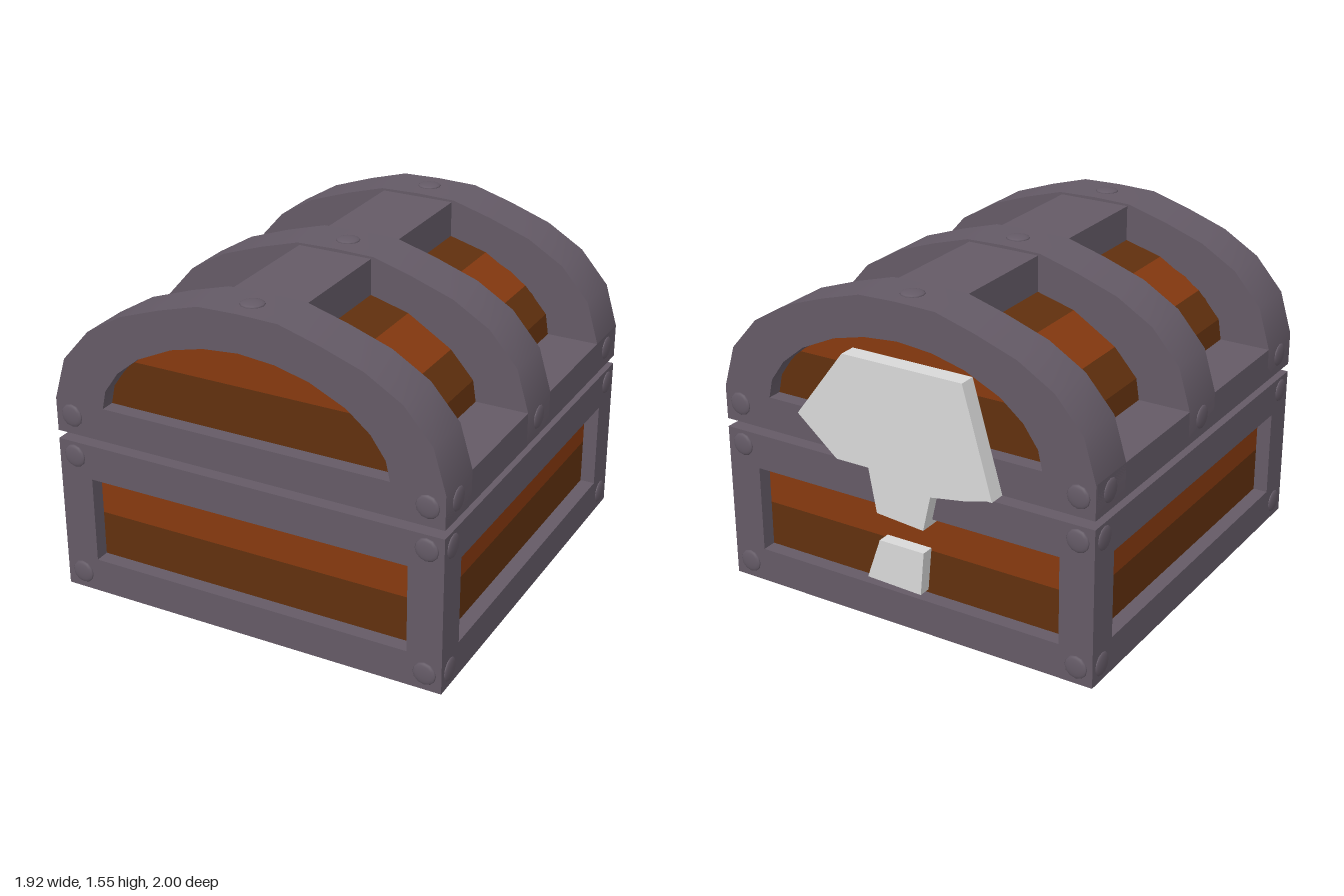
import * as THREE from 'three';
import { toCreasedNormals } from 'three/addons/utils/BufferGeometryUtils.js';

const mat = (name, color) => new THREE.MeshStandardMaterial({ name, color });

// Closed shape from a list of [x, y] points
const shapeOf = (pts) => new THREE.Shape(pts.map(([x, y]) => new THREE.Vector2(x, y)));
// Right half outline (bottom to top) mirrored to a full arch
const mirrored = (half) => [...half, ...half.filter(([x]) => x > 0).reverse().map(([x, y]) => [-x, y])];
const rect = (x0, y0, x1, y1) => [[x0, y0], [x1, y0], [x1, y1], [x0, y1]];

export function createModel() {
  const chest = new THREE.Group();
  chest.name = 'chest';
  const metal = mat('dull iron', 0x645a66);
  const lightWood = mat('light wood', 0x86390f);
  const darkWood = mat('dark wood', 0x61300e);
  const pale = mat('pale metal', 0xd8d8d8);

  const add = (name, geometry, material, parent = chest) => {
    const mesh = new THREE.Mesh(geometry, material);
    mesh.name = name;
    parent.add(mesh);
    return mesh;
  };
  // Box given by its limits
  const box = (name, x0, x1, y0, y1, z0, z1, material, parent) => {
    const mesh = add(name, new THREE.BoxGeometry(x1 - x0, y1 - y0, z1 - z0), material, parent);
    mesh.position.set((x0 + x1) / 2, (y0 + y1) / 2, (z0 + z1) / 2);
    return mesh;
  };
  // Shape extruded from z0 to z1
  const slab = (name, shape, z0, z1, material, parent) => {
    const g = new THREE.ExtrudeGeometry(shape, { depth: z1 - z0, bevelEnabled: false });
    g.translate(0, 0, z0);
    return add(name, g, material, parent);
  };

  const W = 0.95, FRONT = 0.99, BACK = -0.92, MID = 0.035;
  const RECESS = 0.07;

  // ---- Base: framed walls with recessed planks ----
  const base = new THREE.Group();
  base.name = 'base';
  chest.add(base);
  box('floor', -W + 0.01, W - 0.01, 0, 0.1, BACK + 0.01, FRONT - 0.01, metal, base);
  box('baseTop', -W + 0.01, W - 0.01, 0.68, 0.75, BACK + 0.01, FRONT - 0.01, metal, base);
  const core = [W - RECESS, BACK + RECESS, FRONT - RECESS];
  box('lowerPlanks', -core[0], core[0], 0.1, 0.38, core[1], core[2], darkWood, base);
  box('upperPlanks', -core[0], core[0], 0.38, 0.68, core[1], core[2], lightWood, base);

  const frame = (halfWidth, halfOpening) => {
    const s = shapeOf(rect(-halfWidth, 0, halfWidth, 0.75));
    s.holes.push(shapeOf(rect(-halfOpening, 0.165, halfOpening, 0.58)));
    return s;
  };
  slab('frontFrame', frame(W, 0.785), FRONT - 0.1, FRONT, metal, base);
  slab('backFrame', frame(W, 0.785), BACK, BACK + 0.1, metal, base);
  for (const side of [1, -1]) {
    const f = slab('sideFrame', frame((FRONT - BACK) / 2, 0.79), -0.1, 0, metal, base);
    f.rotation.y = side * Math.PI / 2;
    f.position.set(side * W, 0, MID);
  }

  // ---- Lid: metal arches over a wooden barrel ----
  const lid = new THREE.Group();
  lid.name = 'lid';
  chest.add(lid);
  const outer = mirrored([[W, 0.79], [W, 0.95], [0.89, 1.15], [0.755, 1.305], [0.58, 1.41],
    [0.38, 1.48], [0.19, 1.535], [0, 1.54]]);
  const opening = mirrored([[0.7, 0.95], [0.68, 1.04], [0.61, 1.14], [0.5, 1.23],
    [0.33, 1.31], [0.17, 1.35], [0, 1.365]]);

  const arch = (name, z0, z1, open) => {
    const s = shapeOf(outer);
    if (open) s.holes.push(shapeOf(opening));
    const mesh = slab(name, s, z0, z1, metal, lid);
    mesh.geometry = toCreasedNormals(mesh.geometry, 0.6);
  };
  arch('frontArch', 0.74, FRONT, true);
  arch('middleArch', -0.09, 0.16, false);
  arch('backArch', BACK, -0.67, true);
  box('lidRim', -W, W, 0.79, 0.95, BACK + 0.01, FRONT - 0.01, metal, lid);
  box('topRidge', -0.18, 0.18, 1.3, 1.525, -0.75, 0.8, metal, lid);

  // Barrel planks; each has one material for its ends and one for its curved side
  const planks = [
    ['lowerBarrel', [[0.702, 0.94], [0.685, 1.05], [0.575, 1.175]], darkWood, darkWood],
    ['middleBarrel', [[0.575, 1.175], [0.365, 1.305]], lightWood, lightWood],
    ['upperBarrel', [[0.365, 1.305], [0.18, 1.355], [0, 1.37]], lightWood, darkWood],
  ];
  for (const [name, half, ends, side] of planks) {
    slab(name, shapeOf(mirrored(half)), BACK + RECESS, FRONT - RECESS, [ends, side], lid);
  }

  // ---- Rivets: shallow domes facing outward ----
  const dome = new THREE.SphereGeometry(0.055, 12, 4, 0, Math.PI * 2, 0, Math.PI / 2);
  dome.scale(1, 0.22, 1);
  const up = new THREE.Vector3(0, 1, 0);
  const rivet = (x, y, z, nx, ny, nz) => {
    const r = add('rivet', dome, metal);
    r.position.set(x, y, z);
    r.quaternion.setFromUnitVectors(up, new THREE.Vector3(nx, ny, nz));
  };
  for (const side of [1, -1]) {
    for (const y of [0.08, 0.68, 0.88]) {
      rivet(side * 0.87, y, FRONT, 0, 0, 1);
      rivet(side * 0.87, y, BACK, 0, 0, -1);
    }
    for (const y of [0.08, 0.68]) {
      for (const z of [0.91, -0.84]) rivet(side * W, y, z, side, 0, 0);
    }
    for (const z of [0.87, MID, -0.8]) rivet(side * W, 0.88, z, side, 0, 0);
  }
  for (const z of [0.865, MID, -0.8]) rivet(0, 1.54, z, 0, 1, 0);

  // ---- Hasp on the back: plate, strap and stud ----
  const hasp = new THREE.Group();
  hasp.name = 'hasp';
  chest.add(hasp);
  slab('haspPlate', shapeOf([[-0.51, 0.79], [0.28, 0.79], [0.48, 0.96], [0.23, 1.29], [-0.37, 1.29]]),
    -1, BACK, pale, hasp);
  slab('haspStrap', shapeOf([[-0.15, 0.55], [0.09, 0.57], [0.13, 0.79], [-0.51, 0.79],
    [-0.37, 0.75], [-0.19, 0.72]]), -0.98, -0.86, pale, hasp);
  slab('haspStud', shapeOf([[-0.13, 0.23], [0.15, 0.24], [0.08, 0.44], [-0.15, 0.44]]),
    -0.98, BACK, pale, hasp);

  return chest;
}
